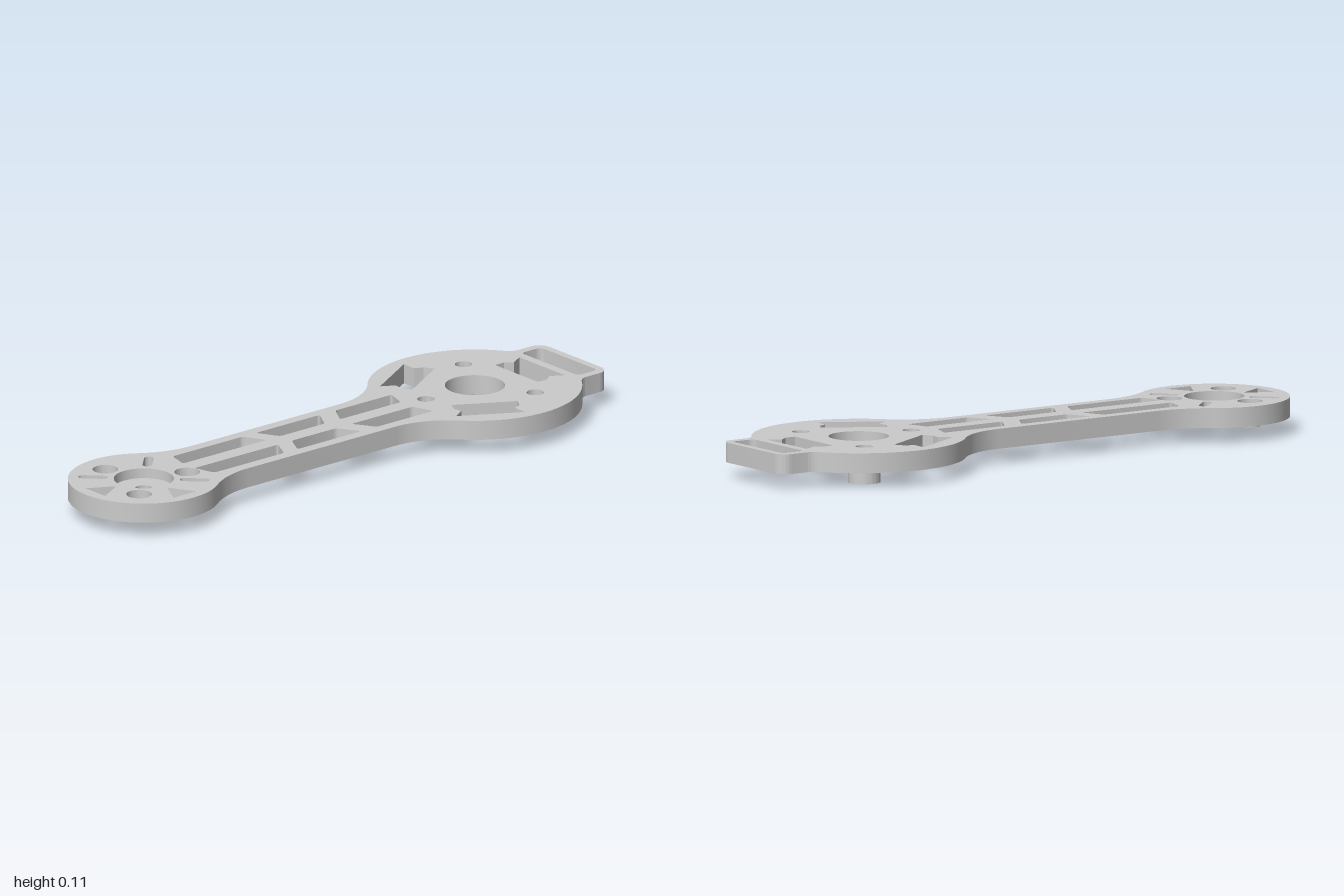
import * as THREE from 'three';
import { toCreasedNormals } from 'three/addons/utils/BufferGeometryUtils.js';

const TOP = 0.112, UNDER = 0.049;
const MOUNT = 0.59, MOTOR = -0.763;            // x of the large and small disc centres
const MOUNT_R = 0.335, MOTOR_R = 0.237, ARM = 0.137, TAB = 0.165;
const material = new THREE.MeshStandardMaterial({ color: 0xcccccc });
const rad = (deg) => deg * Math.PI / 180;

// Extrude an outline drawn in (x, z) between two heights
function slab(name, shape, y0, y1) {
  let geo = new THREE.ExtrudeGeometry(shape, { depth: y1 - y0, bevelEnabled: false, curveSegments: 24 });
  geo.rotateX(Math.PI / 2);
  geo.translate(0, y1, 0);
  geo = toCreasedNormals(geo, rad(25));
  const mesh = new THREE.Mesh(geo, material);
  mesh.name = name;
  return mesh;
}

const circle = (x, z, r) => new THREE.Path().absarc(x, z, r, 0, Math.PI * 2, false);
const polar = (cx, r, deg) => [cx + r * Math.cos(rad(deg)), r * Math.sin(rad(deg))];

function ring(name, [x, z], outer, inner, y0, y1) {
  const shape = new THREE.Shape().absarc(x, z, outer, 0, Math.PI * 2, false);
  shape.holes.push(circle(x, z, inner));
  return slab(name, shape, y0, y1);
}

// Closed polygon turned about (cx, 0)
function polygon(points, cx = 0, deg = 0) {
  const c = Math.cos(rad(deg)), s = Math.sin(rad(deg));
  return points.map(([x, z]) => new THREE.Vector2(cx + x * c - z * s, x * s + z * c));
}

// Closed polygon with its corners rounded
function rounded(points, r) {
  const path = new THREE.Path();
  const v = points.map(([x, z]) => new THREE.Vector2(x, z));
  v.forEach((p, i) => {
    const a = v[(i + v.length - 1) % v.length], b = v[(i + 1) % v.length];
    const p0 = p.clone().add(a.clone().sub(p).setLength(r));
    const p1 = p.clone().add(b.clone().sub(p).setLength(r));
    if (i === 0) path.moveTo(p0.x, p0.y); else path.lineTo(p0.x, p0.y);
    path.quadraticCurveTo(p.x, p.y, p1.x, p1.y);
  });
  path.closePath();
  return new THREE.Path(path.getPoints(5));
}

// Fillet between a disc and a straight edge at height h, touching the edge at x
function fillet(cx, r, h, x) {
  const dx = x - cx;
  const R = (dx * dx + h * h - r * r) / (2 * (r - h));
  return { x, z: h + R, R, angle: Math.atan2(h + R, dx) };
}

function outline() {
  const tab = fillet(MOUNT, MOUNT_R, TAB, 0.909);
  const neck = fillet(MOUNT, MOUNT_R, ARM, 0.15);
  const wrist = fillet(MOTOR, MOTOR_R, ARM, -0.45);
  const half = new THREE.Path();
  half.absarc(0.96, TAB - 0.04, 0.04, 0, Math.PI / 2, false);
  half.absarc(tab.x, tab.z, tab.R, -Math.PI / 2, tab.angle - Math.PI, true);
  half.absarc(MOUNT, 0, MOUNT_R, tab.angle, neck.angle, false);
  half.absarc(neck.x, neck.z, neck.R, neck.angle - Math.PI, -Math.PI / 2, true);
  half.absarc(wrist.x, wrist.z, wrist.R, -Math.PI / 2, wrist.angle - Math.PI, true);
  half.absarc(MOTOR, 0, MOTOR_R, wrist.angle, Math.PI, false);
  const upper = half.getPoints(20);
  const lower = upper.slice(0, -1).reverse().map((p) => new THREE.Vector2(p.x, -p.y));
  return new THREE.Shape([...upper, ...lower]);
}

export function createModel() {
  const model = new THREE.Group();
  model.name = 'armPlate';
  const plate = outline();
  const cut = (path) => plate.holes.push(path);

  // Truss windows along the arm, mirrored about the centre line
  const windows = [
    [[-0.56, 0.1], [-0.275, 0.1], [-0.238, 0.028], [-0.58, 0.028]],
    [[-0.22, 0.1], [0.04, 0.1], [0, 0.028], [-0.182, 0.028]],
    [[0.105, 0.1], [0.335, 0.1], [0.31, 0.028], [0.062, 0.028]],
  ];
  for (const side of [1, -1]) {
    for (const w of windows) cut(rounded(w.map(([x, z]) => [x, z * side]), 0.012));
  }

  // Strap slot in the end tab
  cut(rounded([[0.895, -0.137], [0.975, -0.137], [0.975, 0.137], [0.895, 0.137]], 0.02));

  // Large disc: bore, three notched windows, three bosses joined by ribs
  cut(circle(MOUNT, 0, 0.094));
  const notched = [
    [0.17, -0.104], [0.207, -0.104], [0.232, -0.085], [0.275, -0.11],
    [0.275, 0.11], [0.232, 0.085], [0.207, 0.104], [0.17, 0.104],
  ];
  const rib = [[0.1, -0.15], [0.132, -0.15], [0.132, 0.15], [0.1, 0.15]];
  for (const deg of [0, 120, 240]) {
    cut(new THREE.Path(polygon(notched, MOUNT, deg)));
    const at = polar(MOUNT, 0.2, deg + 60);
    cut(circle(...at, 0.027));
    model.add(ring('mountBoss', at, 0.051, 0.027, 0, UNDER));
    model.add(slab('mountRib', new THREE.Shape(polygon(rib, MOUNT, deg)), 0.025, UNDER));
  }

  // Small disc: central recess with a drilled floor
  cut(circle(MOTOR, 0, 0.094));
  model.add(ring('recessFloor', [MOTOR, 0], 0.094, 0.027, UNDER, 0.08));

  // Counterbored screw holes with short bosses below
  for (const deg of [-104, 16, 136]) {
    const at = polar(MOTOR, 0.148, deg);
    cut(circle(...at, 0.04));
    model.add(ring('screwSeat', at, 0.04, 0.015, UNDER, 0.075));
    model.add(ring('screwBoss', at, 0.031, 0.015, 0.033, UNDER));
  }

  // Radial slots with round ends
  for (const deg of [-45, 45, -135]) {
    const slot = new THREE.Path();
    slot.absarc(0.19, 0, 0.015, -Math.PI / 2, Math.PI / 2, false);
    slot.absarc(0.128, 0, 0.015, Math.PI / 2, Math.PI * 1.5, false);
    cut(new THREE.Path(polygon(slot.getPoints(6).map((p) => [p.x, p.y]), MOTOR, deg)));
  }

  // Triangular windows
  for (const deg of [90, 180]) {
    cut(new THREE.Path(polygon([[0.113, 0], [0.198, -0.047], [0.198, 0.047]], MOTOR, deg)));
  }

  model.add(slab('plate', plate, UNDER, TOP));
  return model;
}
